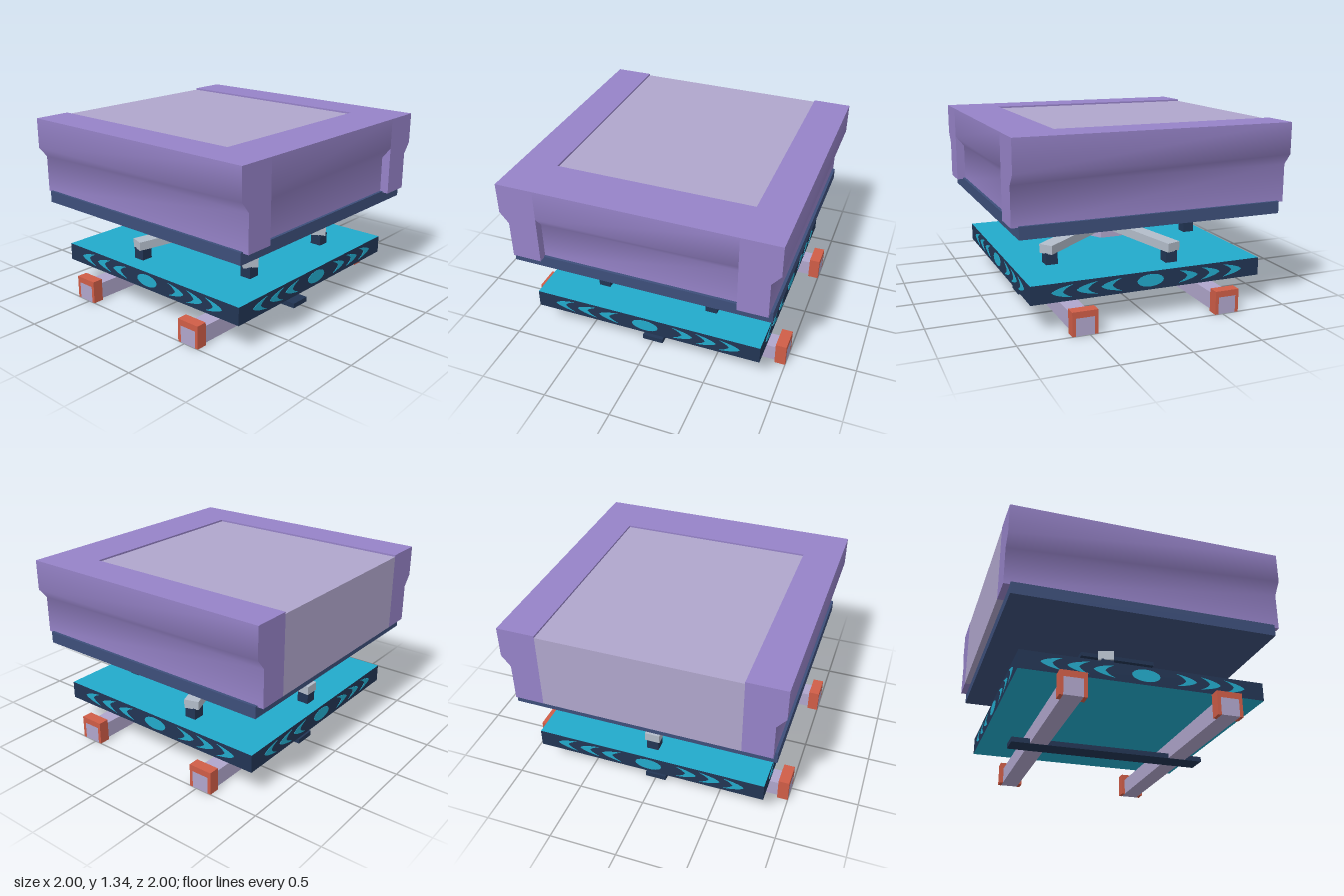
import * as THREE from 'three';
import { toCreasedNormals } from 'three/addons/utils/BufferGeometryUtils.js';

const material = (name, color) => {
  const m = new THREE.MeshStandardMaterial({ color });
  m.name = name;
  return m;
};

export function createModel() {
  const purple = material('purple', 0x9683c8);
  const lavender = material('lavender', 0xb0a6cc);
  const blue = material('slate blue', 0x3d4f7a);
  const navy = material('navy', 0x223554);
  const cyan = material('cyan', 0x22aacb);
  const grey = material('light grey', 0xb2bcc9);
  const red = material('brick red', 0xcf5d47);

  const model = new THREE.Group();
  const add = (name, geometry, mat, parent = model) => {
    const mesh = new THREE.Mesh(geometry, mat);
    mesh.name = name;
    parent.add(mesh);
    return mesh;
  };
  // Box given by its ranges on each axis
  const box = (name, [x0, x1], [y0, y1], [z0, z1], mat, parent) => {
    const g = new THREE.BoxGeometry(x1 - x0, y1 - y0, z1 - z0);
    g.translate((x0 + x1) / 2, (y0 + y1) / 2, (z0 + z1) / 2);
    return add(name, g, mat, parent);
  };
  // Six-sided drum standing between two heights
  const hex = (name, rTop, rBottom, y0, y1, mat) => {
    const g = new THREE.CylinderGeometry(rTop, rBottom, y1 - y0, 6);
    g.translate(0, (y0 + y1) / 2, 0);
    return add(name, toCreasedNormals(g, 0.3), mat);
  };
  const shape = (pts) => new THREE.Shape(pts.map(([x, y]) => new THREE.Vector2(x, y)));

  // Upper body: three walls sharing a stepped outer profile
  const wall = (name, inner, length, angle) => {
    const s = shape([[inner, 0.757], [0.935, 0.757], [0.935, 1.03], [1, 1.11], [1, 1.335], [inner, 1.335]]);
    const g = new THREE.ExtrudeGeometry(s, { depth: length, bevelEnabled: false });
    g.translate(0, 0, -length / 2);
    add(name, toCreasedNormals(g, 1), purple).rotation.y = angle;
  };
  wall('leftWall', 0.72, 2, 0);
  wall('rightWall', 0.72, 2, Math.PI);
  wall('frontWall', 0.64, 1.44, -Math.PI / 2);
  box('innerBlock', [-0.72, 0.72], [0.757, 1.322], [-1, 0.64], lavender);

  // Plates and neck below the body
  box('bodyPlate', [-0.955, 0.955], [0.68, 0.767], [-0.955, 0.955], blue);
  box('mountPlate', [-0.287, 0.287], [0.65, 0.68], [-0.287, 0.287], navy);
  hex('neck', 0.08, 0.08, 0.6, 0.65, grey);
  hex('collar', 0.1, 0.122, 0.51, 0.6, navy);
  hex('hub', 0.172, 0.172, 0.395, 0.512, lavender);

  // Five sloping arms with upright square feet
  for (let i = 0; i < 5; i++) {
    const a = Math.PI + (i * Math.PI * 2) / 5;
    const g = new THREE.BoxGeometry(0.11, 0.065, 0.775);
    g.translate(0, 0.4475, 0.3875);
    const p = g.attributes.position;
    for (let v = 0; v < p.count; v++) p.setY(v, p.getY(v) + 0.04 * (1 - p.getZ(v) / 0.775));
    g.computeVertexNormals();
    add('arm', g, grey).rotation.y = a;
    const x = Math.sin(a) * 0.725, z = Math.cos(a) * 0.725;
    box('armFoot', [x - 0.044, x + 0.044], [0.334, 0.42], [z - 0.044, z + 0.044], navy);
  }

  // Base slab: cyan top and bottom, navy edges
  box('baseSlab', [-0.865, 0.865], [0.203, 0.335], [-0.865, 0.865],
    [navy, navy, cyan, cyan, navy, navy]);

  // Edge markings: a central oval and three outward chevrons each way
  const oval = new THREE.Shape();
  oval.absellipse(0, 0, 0.1, 0.044, 0, Math.PI * 2);
  const chevron = (x, s) => {
    const c = new THREE.Shape();
    c.moveTo(s * (x + 0.15), 0);
    c.quadraticCurveTo(s * (x + 0.125), 0.028, s * x, 0.045);
    c.quadraticCurveTo(s * (x + 0.055), 0.025, s * (x + 0.07), 0);
    c.quadraticCurveTo(s * (x + 0.055), -0.025, s * x, -0.045);
    c.quadraticCurveTo(s * (x + 0.125), -0.028, s * (x + 0.15), 0);
    return c;
  };
  const marks = [oval];
  for (const s of [-1, 1]) for (const x of [0.215, 0.392, 0.57]) marks.push(chevron(x, s));
  const markGeometry = new THREE.ExtrudeGeometry(marks, { depth: 0.004, bevelEnabled: false, curveSegments: 10 });
  markGeometry.translate(0, 0.27, 0.864);
  for (let i = 0; i < 4; i++) add('edgeMarkings', markGeometry, cyan).rotation.y = (i * Math.PI) / 2;

  // Two skid rails with inverted-U end caps
  for (const z of [-0.533, 0.533]) {
    box('rail', [-1, 1], [0.001, 0.125], [z - 0.066, z + 0.066], lavender);
    for (const s of [-1, 1]) {
      const u = shape([[-0.091, 0], [-0.066, 0], [-0.066, 0.125], [0.066, 0.125],
        [0.066, 0], [0.091, 0], [0.091, 0.17], [-0.091, 0.17]]);
      const g = new THREE.ExtrudeGeometry(u, { depth: 0.08, bevelEnabled: false });
      g.rotateY(Math.PI / 2);
      g.translate(s > 0 ? 0.92 : -1, 0, z);
      add('railCap', g, red);
    }
  }

  // Low cross bar joining the rails
  box('crossBar', [-0.08, 0.08], [0, 0.037], [-0.733, 0.733], navy);

  return model;
}
